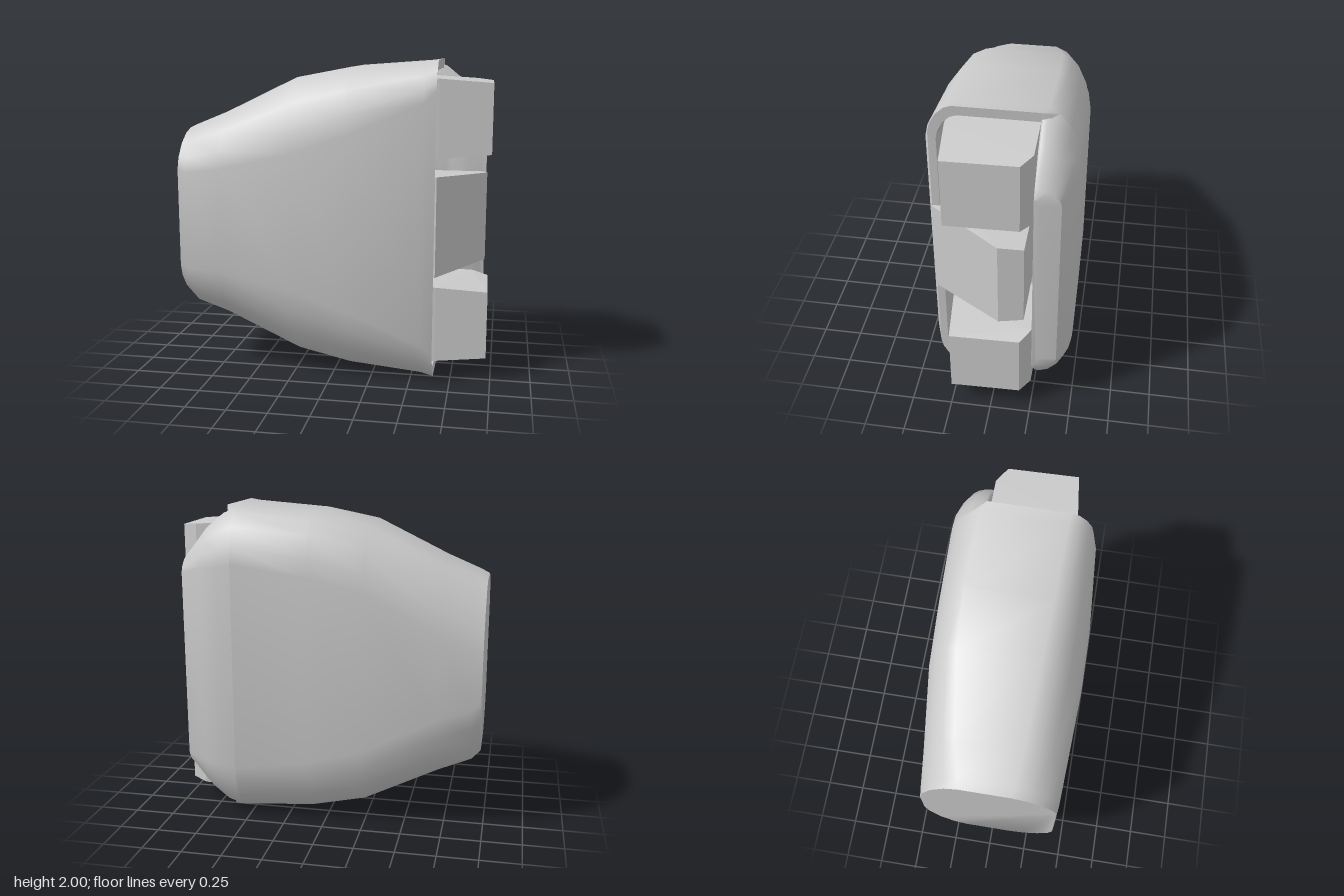
import * as THREE from 'three';
import { toCreasedNormals } from 'three/addons/utils/BufferGeometryUtils.js';
import { ConvexGeometry } from 'three/addons/geometries/ConvexGeometry.js';

const material = new THREE.MeshStandardMaterial({ color: 0xcccccc });

// Cross-section in the yz plane, with separate blunt front and back corners
function section({ x, y, z, front, back }) {
  const [y0, y1] = y, [z0, z1] = z, steps = 4, ring = [];
  const blunt = (v) => Math.sign(v) * Math.abs(v) ** 1.2;
  const corner = (cz, cy, [rz, ry], start) => {
    for (let i = 0; i <= steps; i++) {
      const a = start + (i / steps) * Math.PI / 2;
      ring.push([x, cy + blunt(Math.sin(a)) * ry, cz + blunt(Math.cos(a)) * rz]);
    }
  };
  corner(z1 - front[0], y1 - front[1], front, 0);
  corner(z0 + back[0], y1 - back[1], back, Math.PI / 2);
  corner(z0 + back[0], y0 + back[1], back, Math.PI);
  corner(z1 - front[0], y0 + front[1], front, Math.PI * 1.5);
  return ring;
}

// Closed skin over a row of cross-sections running toward +x
function skin(stations, crease) {
  const rings = stations.map(section), n = rings[0].length;
  const positions = rings.flat(2), index = [];
  for (let i = 0; i < rings.length - 1; i++) {
    for (let j = 0; j < n; j++) {
      const k = (j + 1) % n;
      const a = i * n + j, b = a + n, c = i * n + k, d = c + n;
      index.push(a, b, c, b, d, c);
    }
  }
  const last = (rings.length - 1) * n;
  for (let j = 1; j < n - 1; j++) {
    index.push(0, j, j + 1);
    index.push(last, last + j + 1, last + j);
  }
  const geometry = new THREE.BufferGeometry();
  geometry.setAttribute('position', new THREE.Float32BufferAttribute(positions, 3));
  geometry.setIndex(index);
  return toCreasedNormals(geometry, crease);
}

function addMesh(group, name, geometry) {
  const mesh = new THREE.Mesh(geometry, material);
  mesh.name = name;
  group.add(mesh);
}

// Solid through upright edges, each given as [x, yMin, yMax, z]
const wedge = (edges) => new ConvexGeometry(edges.flatMap(([x, y0, y1, z]) =>
  [new THREE.Vector3(x, y0, z), new THREE.Vector3(x, y1, z)]));

export function createModel() {
  const group = new THREE.Group();
  const sharp = [0.01, 0.01];

  // Housing: flat narrow end, swelling to an open rim with a pocket
  addMesh(group, 'housing', skin([
    { x: -0.965, y: [0.47, 1.56], z: [-0.41, 0.42], front: [0.27, 0.24], back: [0.25, 0.4] },
    { x: -0.91, y: [0.41, 1.585], z: [-0.415, 0.43], front: [0.26, 0.28], back: [0.25, 0.4] },
    { x: -0.7, y: [0.34, 1.67], z: [-0.43, 0.44], front: [0.25, 0.34], back: [0.21, 0.4] },
    { x: -0.24, y: [0.13, 1.89], z: [-0.465, 0.46], front: [0.25, 0.45], back: [0.19, 0.38] },
    { x: 0.1, y: [0.06, 1.955], z: [-0.47, 0.455], front: [0.23, 0.4], back: [0.18, 0.36] },
    { x: 0.57, y: [0.02, 1.99], z: [-0.475, 0.415], front: [0.18, 0.24], back: [0.19, 0.33] },
    { x: 0.64, y: [0.005, 2], z: [-0.26, 0.385], front: [0.14, 0.18], back: sharp },
    { x: 0.635, y: [0.06, 1.94], z: [-0.255, 0.34], front: [0.12, 0.16], back: sharp },
    { x: 0.45, y: [0.08, 1.92], z: [-0.255, 0.32], front: [0.12, 0.16], back: sharp },
  ], 0.8));

  // Back flap continuing the housing past the rim, behind the blocks
  addMesh(group, 'backFlap', skin([
    { x: 0.57, y: [0.02, 1.99], z: [-0.475, -0.25], front: sharp, back: [0.19, 0.33] },
    { x: 0.66, y: [0.05, 1.95], z: [-0.475, -0.25], front: sharp, back: [0.19, 0.31] },
    { x: 0.77, y: [0.14, 1.86], z: [-0.447, -0.25], front: sharp, back: [0.16, 0.23] },
    { x: 0.905, y: [0.31, 1.69], z: [-0.4, -0.25], front: sharp, back: [0.12, 0.1] },
    { x: 0.93, y: [0.36, 1.64], z: [-0.28, -0.25], front: sharp, back: [0.02, 0.06] },
  ], 0.8));

  // Upper and lower tapered blocks
  for (const [name, mirror] of [['upperBlock', (y) => y], ['lowerBlock', (y) => 2.01 - y]]) {
    addMesh(group, name, wedge([
      [0.46, 1.41, 1.9, 0.29], [0.46, 1.41, 1.9, -0.24],
      [0.65, 1.41, 1.89, 0.285], [0.86, 1.42, 1.875, -0.24],
      [0.97, 1.435, 1.865, 0.25], [0.96, 1.435, 1.865, -0.18],
    ].map(([x, a, b, z]) => [x, mirror(a), mirror(b), z])));
  }

  // Slanted block in the middle, flush with the rim at the front
  addMesh(group, 'middleBlock', wedge([
    [0.46, 0.69, 1.31, 0.33], [0.46, 0.73, 1.27, -0.2],
    [0.65, 0.69, 1.31, 0.385], [0.94, 0.715, 1.285, -0.05],
    [0.92, 0.73, 1.27, -0.2],
  ]));

  return group;
}
